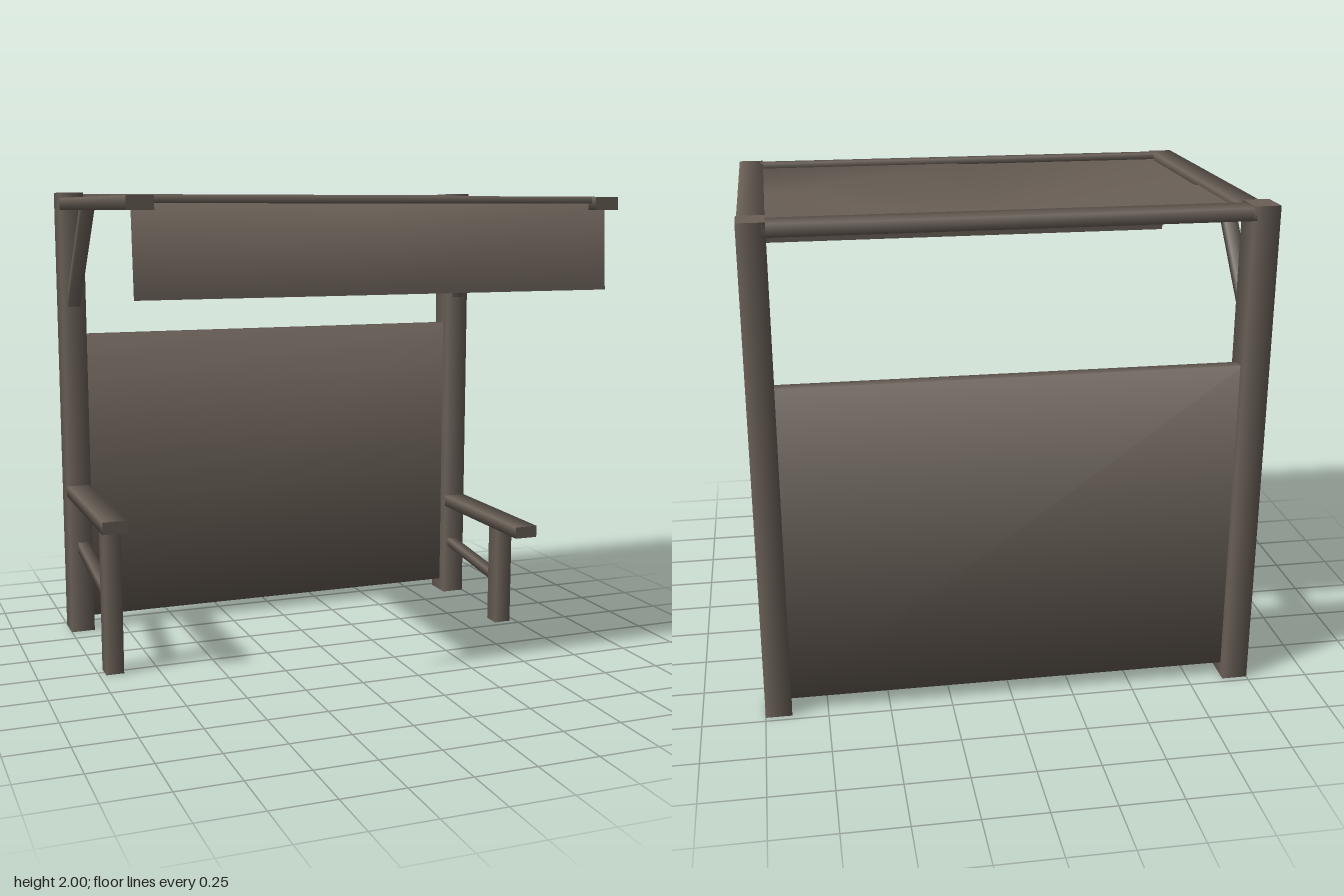
import * as THREE from 'three';

export function createModel() {
  const model = new THREE.Group();
  model.name = 'canvasShelter';
  const wood = new THREE.MeshStandardMaterial({ color: 0x6a6057 });
  wood.name = 'weathered brown';
  const cloth = new THREE.MeshStandardMaterial({ color: 0x6a6057, side: THREE.DoubleSide });
  cloth.name = 'cloth brown';

  function add(name, geo, material = wood) {
    const mesh = new THREE.Mesh(geo, material);
    mesh.name = name;
    model.add(mesh);
    return mesh;
  }

  // Four-sided bar, shaded round about its longest side, with flat ends
  function bar(name, size) {
    const geo = new THREE.BoxGeometry(...size);
    const p = geo.attributes.position, n = geo.attributes.normal;
    const axis = size.indexOf(Math.max(...size));
    for (let i = 0; i < p.count; i++) {
      if (Math.abs(n.getComponent(i, axis)) > 0.5) continue;
      for (let k = 0; k < 3; k++) {
        n.setComponent(i, k, k === axis ? 0 : Math.sign(p.getComponent(i, k)) * Math.SQRT1_2);
      }
    }
    return add(name, geo);
  }

  // Bar given by its limits on each axis
  function box(name, [x0, x1], [y0, y1], [z0, z1]) {
    bar(name, [x1 - x0, y1 - y0, z1 - z0])
      .position.set((x0 + x1) / 2, (y0 + y1) / 2, (z0 + z1) / 2);
  }

  // Slanted bar in a side plane, from (za, ya) to (zb, yb)
  function strut(name, x, width, height, [za, ya], [zb, yb]) {
    const mesh = bar(name, [width, height, Math.hypot(zb - za, yb - ya)]);
    mesh.position.set(x, (ya + yb) / 2, (za + zb) / 2);
    mesh.rotation.x = -Math.atan2(yb - ya, zb - za);
  }

  // Limits on the x axis, swapped for the mirrored side
  const span = (s, a, b) => (s > 0 ? [a, b] : [-b, -a]);

  // Posts, roof side beams and their diagonal braces
  for (const s of [1, -1]) {
    const side = s > 0 ? 'left' : 'right';
    box(side + 'Post', span(s, 0.895, 1), [0, 2], [-0.725, -0.593]);
    box(side + 'RoofBeam', span(s, 0.897, 0.999), [1.925, 1.977], [-0.63, 0.725]);
    strut(side + 'RoofBrace', s * 0.947, 0.053, 0.05, [-0.64, 1.484], [-0.22, 1.961]);
  }

  // Cross beams at the back and front of the roof
  box('backBeam', [-0.91, 0.91], [1.945, 1.995], [-0.725, -0.617]);
  box('frontRail', [-0.91, 0.91], [1.95, 1.978], [0.645, 0.695]);

  // Back wall
  box('backPanel', [-0.91, 0.91], [0.058, 1.37], [-0.69, -0.64]);

  // Roof cloth sagging at its middle, folding over the front into a hanging flap
  const rows = [[-0.65, 1.955], [0.01, 1.955], [0.67, 1.955], [0.695, 1.607]];
  const canopy = new THREE.PlaneGeometry(1.94, 1, 2, 3);
  const cp = canopy.attributes.position;
  for (let i = 0; i < cp.count; i++) {
    const [z, y] = rows[Math.floor(i / 3)];
    cp.setXYZ(i, cp.getX(i), i === 4 ? 1.846 : y, z);
  }
  canopy.computeVertexNormals();
  add('roofCloth', canopy, cloth);

  // Side rests at two heights, each with a leg and a strut back to the post
  const rests = [
    { s: 1, side: 'left', edge: 1.001, top: 0.5, rest: [-0.67, 0.145], leg: [-0.117, -0.037], a: [-0.64, 0.264], b: [-0.08, 0.199], h: 0.038 },
    { s: -1, side: 'right', edge: 1, top: 0.687, rest: [-0.62, 0.173], leg: [-0.04, 0.04], a: [-0.64, 0.403], b: [-0.01, 0.317], h: 0.048 },
  ];
  for (const r of rests) {
    box(r.side + 'Rest', span(r.s, 0.896, r.edge), [r.top - 0.052, r.top], r.rest);
    box(r.side + 'RestLeg', span(r.s, 0.897, 0.973), [0, r.top - 0.04], r.leg);
    strut(r.side + 'RestStrut', r.s * 0.937, 0.045, r.h, r.a, r.b);
  }
  return model;
}
